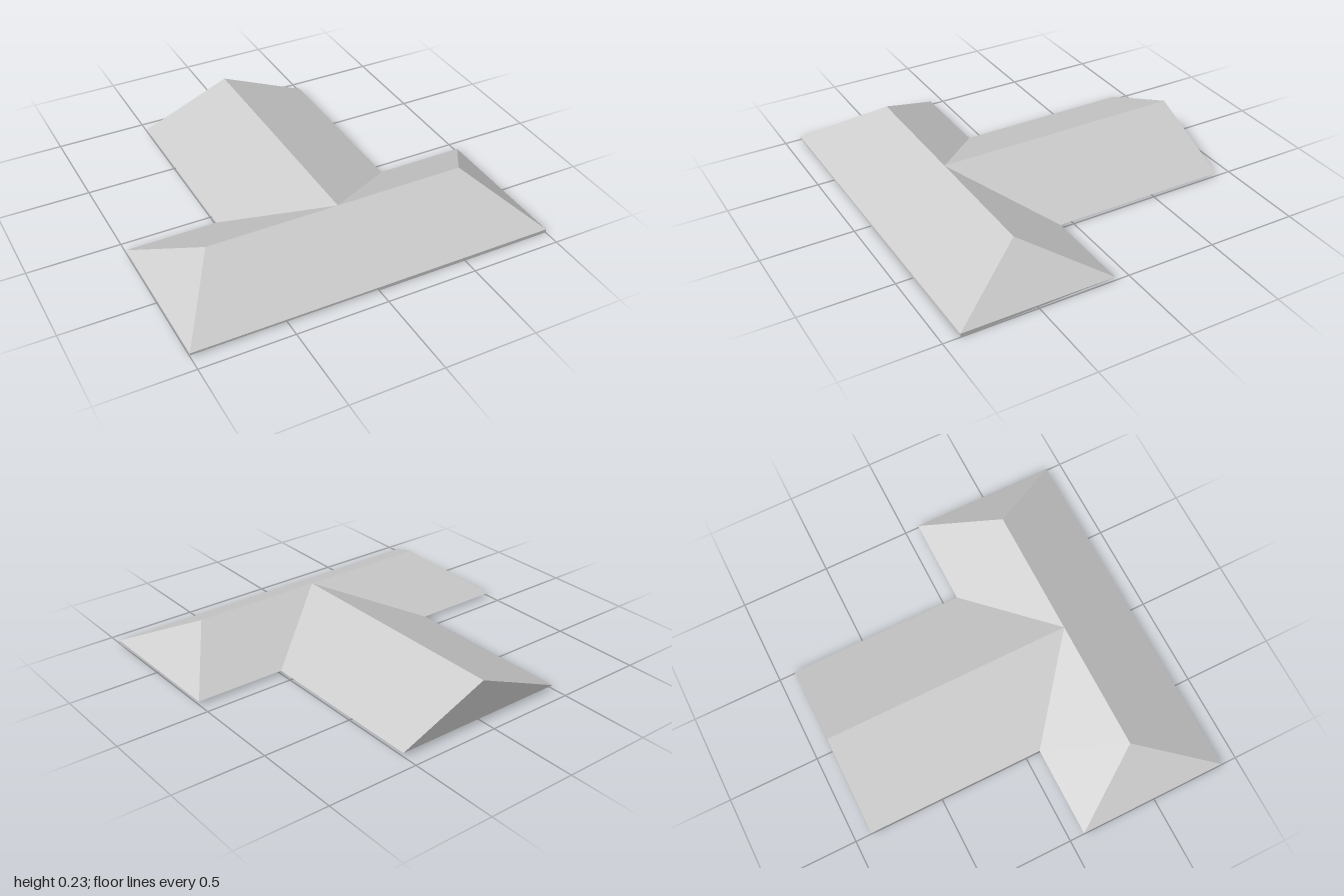
import * as THREE from 'three';

const EAVE = 0.02, RIDGE = 0.23;            // heights
const FRONT = 0.91, MID = 0.48, NOTCH = 0.08, BACK = -0.91; // depths
const HIP = 0.725, WING = 0.5;              // half widths of ridge and wing

export function createModel() {
  const group = new THREE.Group();
  const material = new THREE.MeshStandardMaterial({
    color: 0xcccccc, flatShading: true, side: THREE.DoubleSide,
  });

  // Flat convex panel from its corners, anticlockwise seen from outside
  function panel(name, corners) {
    const index = [];
    for (let i = 1; i < corners.length - 1; i++) index.push(0, i, i + 1);
    const geometry = new THREE.BufferGeometry();
    geometry.setAttribute('position', new THREE.Float32BufferAttribute(corners.flat(), 3));
    geometry.setIndex(index);
    geometry.computeVertexNormals();
    const mesh = new THREE.Mesh(geometry, material);
    mesh.name = name;
    group.add(mesh);
  }

  // Panel on the left side and its mirror image on the right
  function mirrored(name, corners) {
    panel(name + 'Left', corners);
    panel(name + 'Right', corners.map(([x, y, z]) => [-x, y, z]).reverse());
  }

  // Main hipped roof
  panel('frontSlope', [
    [-1, EAVE, FRONT], [1, EAVE, FRONT], [HIP, RIDGE, MID], [-HIP, RIDGE, MID],
  ]);
  mirrored('hipEnd', [[1, EAVE, FRONT], [1, EAVE, NOTCH], [HIP, RIDGE, MID]]);
  mirrored('backSlope', [
    [1, EAVE, NOTCH], [WING, EAVE, NOTCH], [0, RIDGE, MID], [HIP, RIDGE, MID],
  ]);

  // Rear wing, meeting the main roof along two valleys
  mirrored('wingSlope', [
    [WING, EAVE, NOTCH], [WING, EAVE, BACK], [0, RIDGE, BACK], [0, RIDGE, MID],
  ]);
  panel('gableWall', [[WING, EAVE, BACK], [-WING, EAVE, BACK], [0, RIDGE, BACK]]);

  // Thin fascia under the front eave, tapering away along the hip ends
  for (const [side, low] of [[1, 0], [-1, 0.008]]) {
    const front = [[0, low, FRONT], [side, low, FRONT], [side, EAVE, FRONT], [0, EAVE, FRONT]];
    const end = [[side, EAVE, FRONT], [side, low, FRONT], [side, EAVE, NOTCH]];
    const suffix = side > 0 ? 'Left' : 'Right';
    panel('frontFascia' + suffix, side > 0 ? front : front.reverse());
    panel('sideFascia' + suffix, side > 0 ? end : end.reverse());
  }
  return group;
}
